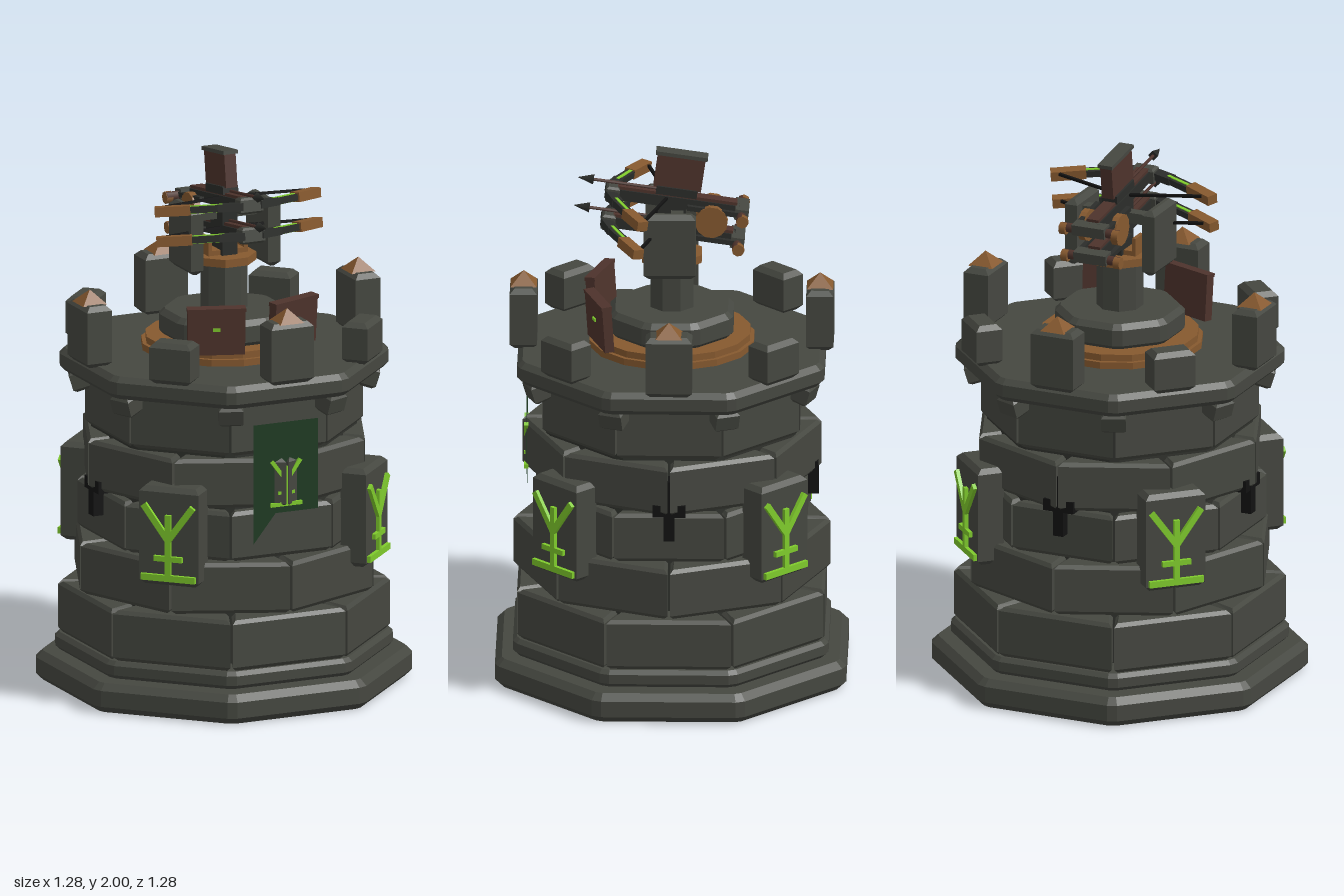
import * as THREE from 'three';

const mat = (name, color) => {
  const m = new THREE.MeshStandardMaterial({ color });
  m.name = name;
  return m;
};

export function createModel() {
  const stone = mat('stone', 0x454740);
  const core = mat('mortar', 0x30322d);
  const wood = mat('wood', 0x86592f);
  const plank = mat('dark plank', 0x4e332c);
  const metal = mat('dark metal', 0x2b2d2a);
  const black = mat('black', 0x121212);
  const lime = mat('lime', 0x7fcb2c);
  const cloth = mat('banner green', 0x1d3a22);
  cloth.side = THREE.DoubleSide;

  const model = new THREE.Group();
  model.name = 'watchtower';
  const T = Math.tan(Math.PI / 8);

  const add = (parent, name, geo, material, x = 0, y = 0, z = 0) => {
    const m = new THREE.Mesh(geo, material);
    m.name = name;
    m.position.set(x, y, z);
    parent.add(m);
    return m;
  };
  const group = (parent, name, x = 0, y = 0, z = 0, ry = 0) => {
    const g = new THREE.Group();
    g.name = name;
    g.position.set(x, y, z);
    g.rotation.y = ry;
    parent.add(g);
    return g;
  };
  const box = (w, h, d) => new THREE.BoxGeometry(w, h, d);
  // Chamfered upright prism over a plan outline of [x, z] points, standing on y = 0
  const prism = (pts, h, b) => new THREE.ExtrudeGeometry(
    new THREE.Shape(pts.map(([x, z]) => new THREE.Vector2(x, -z))),
    { depth: h - 2 * b, bevelEnabled: true, bevelSize: b, bevelThickness: b, bevelOffset: -b, bevelSegments: 1 }
  ).rotateX(-Math.PI / 2).translate(0, b, 0);
  const cbox = (w, h, d, b) => prism([[-w / 2, d / 2], [w / 2, d / 2], [w / 2, -d / 2], [-w / 2, -d / 2]], h, b);
  // Octagon with trimmed corners and flats facing the axes
  const octagon = (a, cut) => {
    const pts = [];
    for (let i = 0; i < 8; i++) {
      const t = i * Math.PI / 4;
      for (const s of [-1, 1]) {
        const u = s * (a * T - cut);
        pts.push([a * Math.sin(t) + u * Math.cos(t), a * Math.cos(t) - u * Math.sin(t)]);
      }
    }
    return pts;
  };
  const slab = (parent, name, a, y0, y1, b, m = stone) => add(parent, name, prism(octagon(a, 0.02), y1 - y0, b), m, 0, y0);

  // Stepped foot and parapet floor
  slab(model, 'foot', 0.64, 0, 0.11, 0.025);
  slab(model, 'footStep', 0.575, 0.115, 0.18, 0.015);
  slab(model, 'wallCore', 0.455, 0.15, 1.2, 0.01, core);
  slab(model, 'parapetFloor', 0.56, 1.165, 1.25, 0.02);

  // Staggered brick courses: [face distance, bottom, top, turned half a brick]
  const courses = [[0.56, 0.18, 0.37, 0], [0.535, 0.38, 0.57, 1], [0.495, 0.575, 0.76, 0], [0.505, 0.77, 0.955, 1], [0.47, 0.965, 1.16, 0]];
  for (const [a, y0, y1, turn] of courses) {
    const course = group(model, 'brickCourse', 0, y0, 0, turn * Math.PI / 8);
    const i = a - 0.12, g = 0.005;
    const geo = prism([[-a * T + g, a], [a * T - g, a], [i * T - g, i], [-i * T + g, i]], y1 - y0, 0.014);
    for (let k = 0; k < 8; k++) add(course, 'brick', geo, stone).rotation.y = k * Math.PI / 4;
  }

  // Corbels under the floor
  for (let k = 0; k < 8; k++) {
    const g = group(model, 'corbel', 0, 0, 0, (k + 0.5) * Math.PI / 4);
    add(g, 'corbelBlock', cbox(0.09, 0.08, 0.1, 0.012), stone, 0, 1.1, 0.5).rotation.x = 0.3;
  }

  // Branching rune, origin at the middle of its foot, 0.29 tall
  const rune = (parent, x, y, z, s) => {
    const g = group(parent, 'rune', x, y, z);
    g.scale.set(s, s, 1);
    const bar = (x0, y0, x1, y1, w) => {
      const len = Math.hypot(x1 - x0, y1 - y0);
      add(g, 'runeBar', box(w, len, 0.016), lime, (x0 + x1) / 2, (y0 + y1) / 2).rotation.z = Math.atan2(x0 - x1, y1 - y0);
    };
    bar(0, 0, 0, 0.25, 0.022);
    bar(-0.105, 0.012, 0.105, 0.012, 0.024);
    bar(-0.055, 0.085, 0.055, 0.085, 0.02);
    for (const sx of [-1, 1]) bar(0, 0.155, sx * 0.095, 0.285, 0.024);
  };

  // Diagonal rune panels, merlons and arrow slits around the wall
  for (let k = 0; k < 4; k++) {
    const diag = group(model, 'diagonalSide', 0, 0, 0, (k + 0.5) * Math.PI / 2);
    add(diag, 'runePanel', cbox(0.23, 0.37, 0.1, 0.018), stone, 0, 0.49, 0.542);
    rune(diag, 0, 0.51, 0.598, 1);
    add(diag, 'lowMerlon', cbox(0.16, 0.155, 0.1, 0.018), stone, 0, 1.245, 0.535);

    const side = group(model, 'straightSide', 0, 0, 0, k * Math.PI / 2);
    add(side, 'tallMerlon', cbox(0.17, 0.23, 0.1, 0.018), stone, 0, 1.245, 0.54);
    const cap = new THREE.ConeGeometry(0.068, 0.05, 4, 1).toNonIndexed().rotateY(Math.PI / 4);
    cap.computeVertexNormals();
    add(side, 'merlonCap', cap, wood, 0, 1.497, 0.54);
    if (k > 0) {
      add(side, 'slitUpright', box(0.04, 0.23, 0.07), black, 0, 0.785, 0.5);
      add(side, 'slitCross', box(0.12, 0.045, 0.07), black, 0, 0.785, 0.499);
    }
  }

  // Hanging banner with a torn tail
  const flag = [[-0.13, 1.09], [-0.13, 0.64], [-0.04, 0.75], [0.13, 0.75], [0.13, 1.09]];
  add(model, 'banner', new THREE.ShapeGeometry(new THREE.Shape(flag.map(p => new THREE.Vector2(...p)))), cloth, 0, 0, 0.528);
  rune(model, 0, 0.775, 0.53, 0.6);

  // Turntable and pedestal
  const drum = (r, h, n) => {
    const g = new THREE.CylinderGeometry(r, r, h, n).rotateY(Math.PI / n).toNonIndexed();
    g.computeVertexNormals();
    return g;
  };
  add(model, 'turntableRim', drum(0.305, 0.03, 16), wood, 0, 1.26, 0);
  add(model, 'turntable', drum(0.29, 0.03, 16), wood, 0, 1.285, 0);
  slab(model, 'platform', 0.225, 1.295, 1.395, 0.02);
  add(model, 'pedestal', drum(0.085, 0.19, 8), stone, 0, 1.48, 0);
  add(model, 'pedestalCollar', drum(0.118, 0.03, 8), wood, 0, 1.587, 0);

  // Leaning shields with a small mark
  for (const s of [-1, 1]) {
    const g = group(model, 'shield', s * 0.152, 1.295, 0.255, s * 0.33);
    g.rotation.order = 'YXZ';
    g.rotation.x = 0.07;
    add(g, 'shieldBoard', box(0.21, 0.165, 0.035), plank, 0, 0.085, 0);
    add(g, 'shieldTrim', box(0.215, 0.014, 0.04), plank, 0, 0.173, 0);
    add(g, 'shieldMark', box(0.028, 0.012, 0.008), lime, 0, 0.1, 0.019);
  }

  // Yoke
  for (const s of [-1, 1]) {
    add(model, 'yokePlate', cbox(0.05, 0.25, 0.19, 0.018), stone, s * 0.155, 1.552, 0.005);
    add(model, 'yokeBracket', box(0.015, 0.07, 0.07), wood, s * 0.072, 1.635, 0);
  }
  add(model, 'yokeAxle', box(0.32, 0.04, 0.045), stone, 0, 1.75, -0.02);
  add(model, 'yokeFoot', box(0.15, 0.02, 0.07), wood, 0, 1.61, 0);
  add(model, 'yokeNeck', box(0.06, 0.2, 0.1), metal, 0, 1.7, 0);

  // Twin bows, tilted slightly upward
  const weapon = group(model, 'twinBallista', 0, 1.75, 0);
  weapon.rotation.x = -0.14;
  const beam = (parent, name, p, q, w, h, m, y = 0) => {
    const dx = q[0] - p[0], dz = q[1] - p[1];
    add(parent, name, box(w, h, Math.hypot(dx, dz)), m, (p[0] + q[0]) / 2, y, (p[1] + q[1]) / 2)
      .rotation.y = Math.atan2(dx, dz);
  };
  for (const y of [0.05, -0.06]) {
    const bow = group(weapon, 'bow', 0, y, 0);
    add(bow, 'rail', box(0.06, 0.04, 0.46), metal, 0, 0, -0.01);
    add(bow, 'railTop', box(0.048, 0.012, 0.44), plank, 0, 0.025, -0.01);
    add(bow, 'railNose', cbox(0.09, 0.06, 0.05, 0.008), stone, 0, -0.03, 0.225);
    for (const s of [-1, 1]) {
      beam(bow, 'bowLimb', [s * 0.03, 0.235], [s * 0.12, 0.205], 0.04, 0.028, metal);
      beam(bow, 'bowLimb', [s * 0.11, 0.21], [s * 0.23, 0.155], 0.035, 0.024, metal);
      beam(bow, 'bowGlow', [s * 0.1, 0.212], [s * 0.21, 0.164], 0.012, 0.03, lime);
      beam(bow, 'bowTip', [s * 0.21, 0.168], [s * 0.325, 0.108], 0.042, 0.036, wood);
      beam(bow, 'bowString', [s * 0.285, 0.1], [0, 0.02], 0.01, 0.01, black, 0.012);
    }
    add(bow, 'boltShaft', new THREE.CylinderGeometry(0.006, 0.006, 0.3, 6).rotateX(Math.PI / 2), plank, 0, 0.036, 0.16);
    add(bow, 'boltHead', new THREE.ConeGeometry(0.02, 0.06, 4).rotateX(Math.PI / 2), metal, 0, 0.036, 0.33);
    // Rear winch spindle with handles
    add(bow, 'winchBlock', box(0.13, 0.04, 0.05), stone, 0, 0, -0.25);
    add(bow, 'winchSpindle', new THREE.CylinderGeometry(0.018, 0.018, 0.23, 8).rotateZ(Math.PI / 2), plank, 0, -0.005, -0.25);
    for (const s of [-1, 1]) {
      add(bow, 'winchKnob', new THREE.CylinderGeometry(0.023, 0.023, 0.025, 8).rotateZ(Math.PI / 2), wood, s * 0.105, -0.008, -0.255);
      add(bow, 'sideRod', box(0.018, 0.018, 0.2), metal, s * 0.062, 0, -0.15);
    }
  }
  for (const s of [-1, 1]) {
    add(weapon, 'gearWheel', drum(0.06, 0.025, 12).rotateZ(Math.PI / 2), wood, s * 0.065, 0.01, -0.145);
  }

  // Bolt magazine
  add(weapon, 'magazine', box(0.046, 0.13, 0.175), plank, 0, 0.165, -0.005);
  add(weapon, 'magazineLid', box(0.058, 0.014, 0.19), stone, 0, 0.231, -0.005);
  add(weapon, 'magazineSeat', box(0.062, 0.03, 0.15), metal, 0, 0.09, -0.005);

  return model;
}
